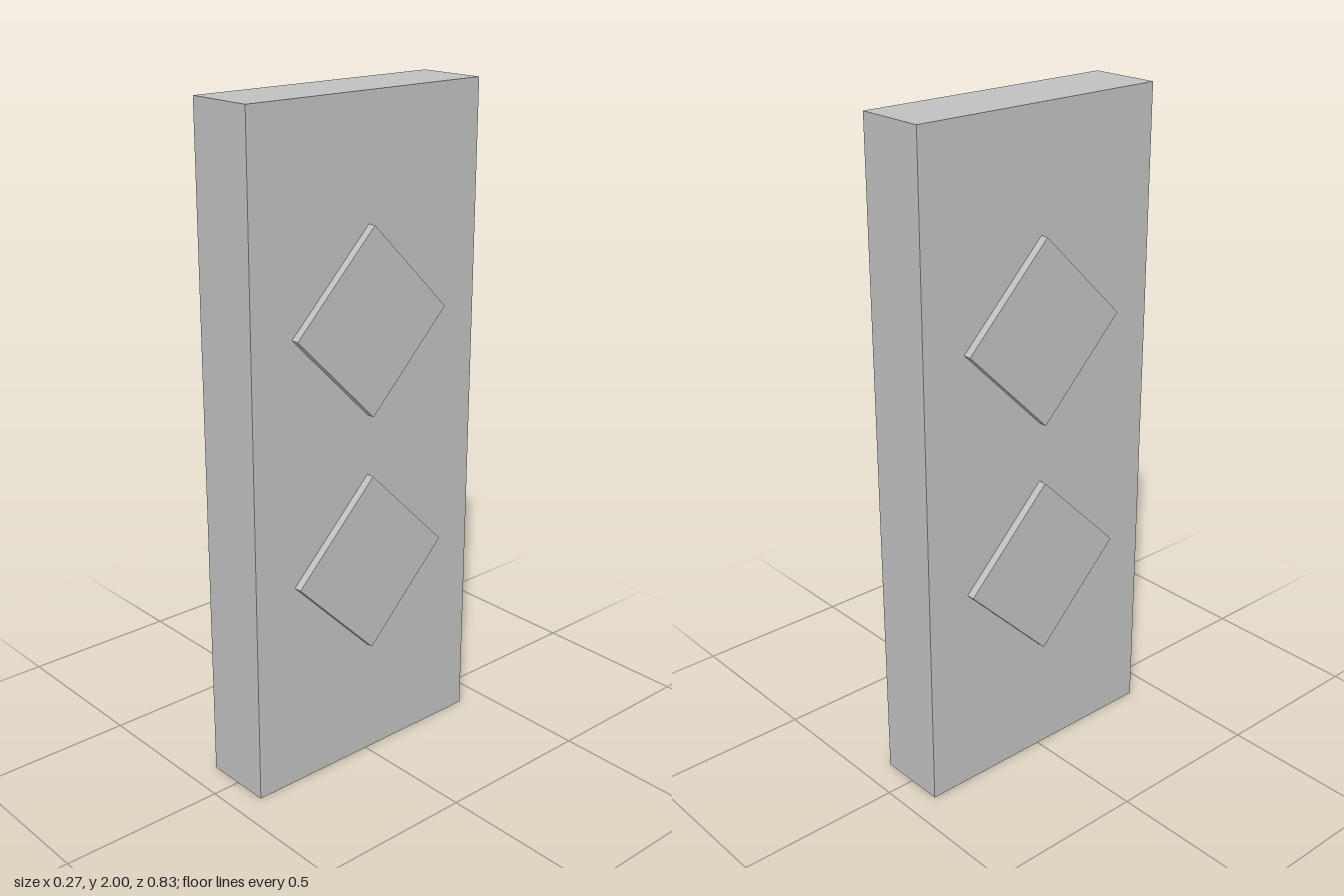
import * as THREE from 'three';

export function createModel() {
  const model = new THREE.Group();
  model.name = 'panel';
  const grey = new THREE.MeshStandardMaterial({ color: 0xc0c0c0 });
  grey.name = 'light grey';

  function box(name, w, h, d, x, y) {
    const mesh = new THREE.Mesh(new THREE.BoxGeometry(w, h, d), grey);
    mesh.name = name;
    mesh.position.set(x, y, 0);
    model.add(mesh);
    return mesh;
  }

  // Upright slab
  box('slab', 0.217, 2, 0.827, 0, 1);

  // Raised diamond plates, two on each broad face
  const side = 0.275 * Math.SQRT2;
  for (const [level, y] of [['lower', 0.637], ['upper', 1.368]]) {
    for (const [hand, s] of [['Left', 1], ['Right', -1]]) {
      box(`${level}${hand}Diamond`, 0.035, side, side, s * 0.1155, y).rotation.x = Math.PI / 4;
    }
  }
  return model;
}
